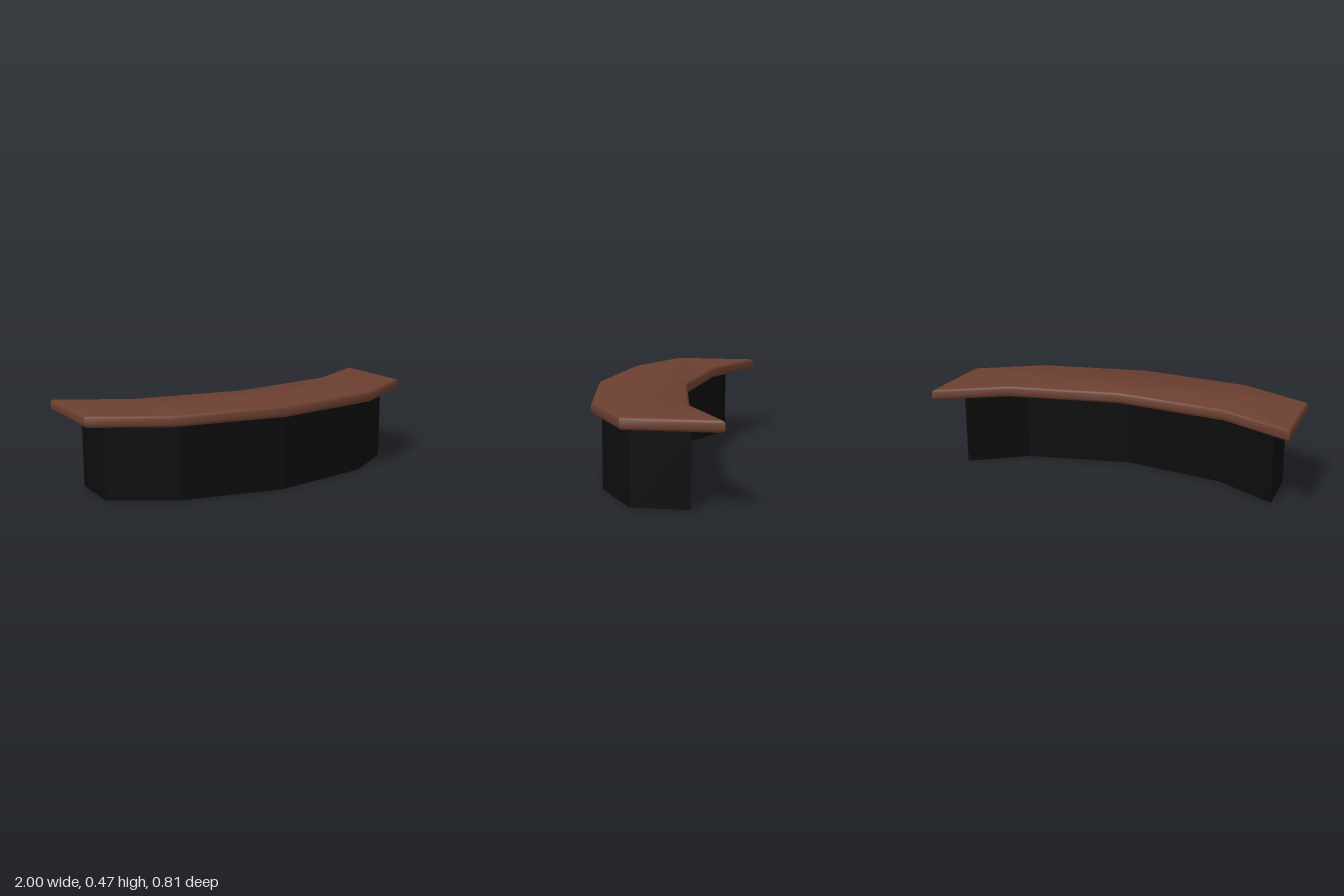
import * as THREE from 'three';
import { toCreasedNormals } from 'three/addons/utils/BufferGeometryUtils.js';

// Outline seen from above as Vector2(x, -z), counter-clockwise: front edge, then back edge
const outline = (front, back) =>
  [...front, ...back.slice().reverse()].map(([x, z]) => new THREE.Vector2(x, -z));

// Move every edge of the outline inward by d, with mitred corners
function inset(points, d) {
  const n = points.length;
  const normal = (a, b) => new THREE.Vector2(a.y - b.y, b.x - a.x).normalize();
  return points.map((p, i) => {
    const n1 = normal(points[(i + n - 1) % n], p);
    const n2 = normal(p, points[(i + 1) % n]);
    const k = d / (1 + n1.dot(n2));
    return p.clone().addScaledVector(n1.add(n2), k);
  });
}

// Closed solid from [height, inset] levels of one outline, bottom to top
function stackedSolid(points, levels, crease) {
  const n = points.length;
  const position = [];
  const index = [];
  for (const [y, d] of levels) {
    for (const p of inset(points, d)) position.push(p.x, y, -p.y);
  }
  for (let l = 0; l < levels.length - 1; l++) {
    for (let i = 0; i < n; i++) {
      const a = l * n + i, b = l * n + (i + 1) % n;
      index.push(a, b, b + n, a, b + n, a + n);
    }
  }
  const top = (levels.length - 1) * n;
  for (const [a, b, c] of THREE.ShapeUtils.triangulateShape(points, [])) {
    index.push(a, c, b, top + a, top + b, top + c);
  }
  const geometry = new THREE.BufferGeometry();
  geometry.setAttribute('position', new THREE.Float32BufferAttribute(position, 3));
  geometry.setIndex(index);
  return toCreasedNormals(geometry, crease);
}

export function createModel() {
  const group = new THREE.Group();
  const brown = new THREE.MeshStandardMaterial({ name: 'brown wood', color: 0x6b3f30 });
  const black = new THREE.MeshStandardMaterial({ name: 'black panel', color: 0x0c0c0c });

  // Curved counter top with rounded edges
  const topOutline = outline(
    [[-1, 0.09], [-0.61, 0.305], [0.01, 0.4], [0.635, 0.305], [1, 0.09]],
    [[-1, -0.405], [-0.61, -0.195], [0.01, -0.1], [0.635, -0.195], [1, -0.405]]
  );
  const topLevels = [
    [0.401, 0.026], [0.404, 0.012], [0.411, 0.003], [0.42, 0],
    [0.45, 0], [0.459, 0.004], [0.464, 0.01], [0.466, 0.018],
  ];
  const counterTop = new THREE.Mesh(stackedSolid(topOutline, topLevels, 0.7), brown);
  counterTop.name = 'counterTop';

  // Faceted base following the same bend, flaring slightly under the top
  const baseOutline = outline(
    [[-0.89, 0.065], [-0.56, 0.26], [0.01, 0.365], [0.59, 0.26], [0.89, 0.065]],
    [[-0.89, -0.235], [-0.56, -0.04], [0.01, 0.065], [0.59, -0.04], [0.89, -0.235]]
  );
  const baseLevels = [[0, 0], [0.392, 0], [0.398, -0.004], [0.4, -0.008]];
  const base = new THREE.Mesh(stackedSolid(baseOutline, baseLevels, 0.1), black);
  base.name = 'base';

  group.add(counterTop, base);
  return group;
}
